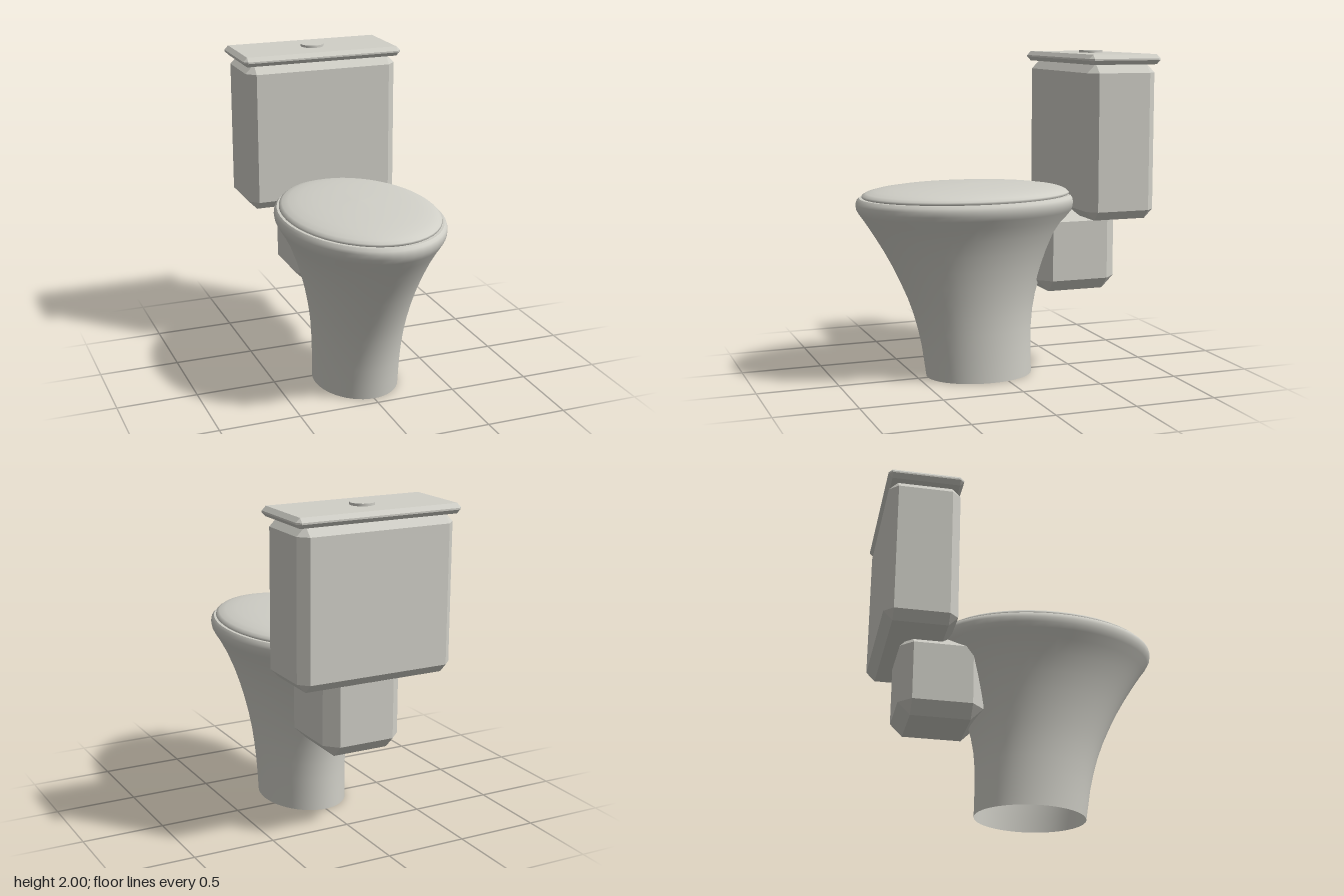
import * as THREE from 'three';
import { ConvexGeometry } from 'three/addons/geometries/ConvexGeometry.js';

const SIDES = 48;

// Skin through horizontal ellipses: [y, front z, back z, half width]
function loft(sections) {
  const pos = [], index = [];
  sections.forEach(([y, front, back, half], r) => {
    const mid = (front + back) / 2, depth = (front - back) / 2;
    for (let i = 0; i < SIDES; i++) {
      const a = (i / SIDES) * Math.PI * 2;
      pos.push(half * Math.sin(a), y, mid + depth * Math.cos(a));
      if (r === 0) continue;
      const j = (i + 1) % SIDES, lo = (r - 1) * SIDES, hi = r * SIDES;
      index.push(lo + i, lo + j, hi + j, lo + i, hi + j, hi + i);
    }
  });
  const g = new THREE.BufferGeometry();
  g.setAttribute('position', new THREE.Float32BufferAttribute(pos, 3));
  g.setIndex(index);
  g.computeVertexNormals();
  return g;
}

// Box with every edge cut by a flat chamfer c
function chamferBox(x, y0, y1, z0, z1, c) {
  const hy = (y1 - y0) / 2, hz = (z1 - z0) / 2, pts = [];
  for (const sx of [-1, 1]) for (const sy of [-1, 1]) for (const sz of [-1, 1]) {
    pts.push(
      new THREE.Vector3(sx * x, sy * (hy - c), sz * (hz - c)),
      new THREE.Vector3(sx * (x - c), sy * hy, sz * (hz - c)),
      new THREE.Vector3(sx * (x - c), sy * (hy - c), sz * hz)
    );
  }
  return new ConvexGeometry(pts).translate(0, (y0 + y1) / 2, (z0 + z1) / 2);
}

export function createModel() {
  const group = new THREE.Group();
  const ceramic = new THREE.MeshStandardMaterial({ color: 0xd0cfc7, side: THREE.DoubleSide });
  ceramic.name = 'ceramic';
  const add = (name, geometry) => {
    const mesh = new THREE.Mesh(geometry, ceramic);
    mesh.name = name;
    group.add(mesh);
  };

  // Flared pedestal and bowl, open at the floor, with rounded rim
  add('bowl', loft([
    [0, 0.44, -0.23, 0.26],
    [0.1, 0.455, -0.228, 0.261],
    [0.2, 0.47, -0.226, 0.264],
    [0.3, 0.492, -0.228, 0.269],
    [0.4, 0.52, -0.236, 0.277],
    [0.5, 0.556, -0.254, 0.291],
    [0.6, 0.6, -0.282, 0.31],
    [0.7, 0.648, -0.318, 0.334],
    [0.8, 0.703, -0.361, 0.364],
    [0.9, 0.764, -0.412, 0.402],
    [0.98, 0.816, -0.457, 0.443],
    [1.03, 0.852, -0.49, 0.474],
    [1.06, 0.868, -0.508, 0.489],
    [1.09, 0.872, -0.512, 0.493],
    [1.11, 0.866, -0.506, 0.488],
    [1.125, 0.85, -0.49, 0.475]
  ]));
  add('rimTop', loft([[1.125, 0.85, -0.49, 0.475], [1.125, 0.8, -0.44, 0.43]]));

  // Domed seat lid: [scale, height]
  const dome = [[0.975, 1.12], [1, 1.13], [0.995, 1.142], [0.96, 1.155], [0.88, 1.168],
    [0.75, 1.18], [0.55, 1.19], [0.3, 1.197], [0.001, 1.2]];
  add('seatLid', loft(dome.map(([s, y]) => [y, 0.18 + 0.655 * s, 0.18 - 0.655 * s, 0.462 * s])));

  // Support block and water tank
  add('tankSupport', chamferBox(0.25, 0.525, 1.04, -0.725, -0.215, 0.075));
  add('tank', chamferBox(0.495, 0.995, 1.93, -0.86, -0.42, 0.055));
  add('tankLid', chamferBox(0.52, 1.925, 1.985, -0.872, -0.408, 0.025));

  // Flush button
  add('flushButton', new THREE.CylinderGeometry(0.073, 0.073, 0.03, 14).translate(0, 1.985, -0.64));
  return group;
}
